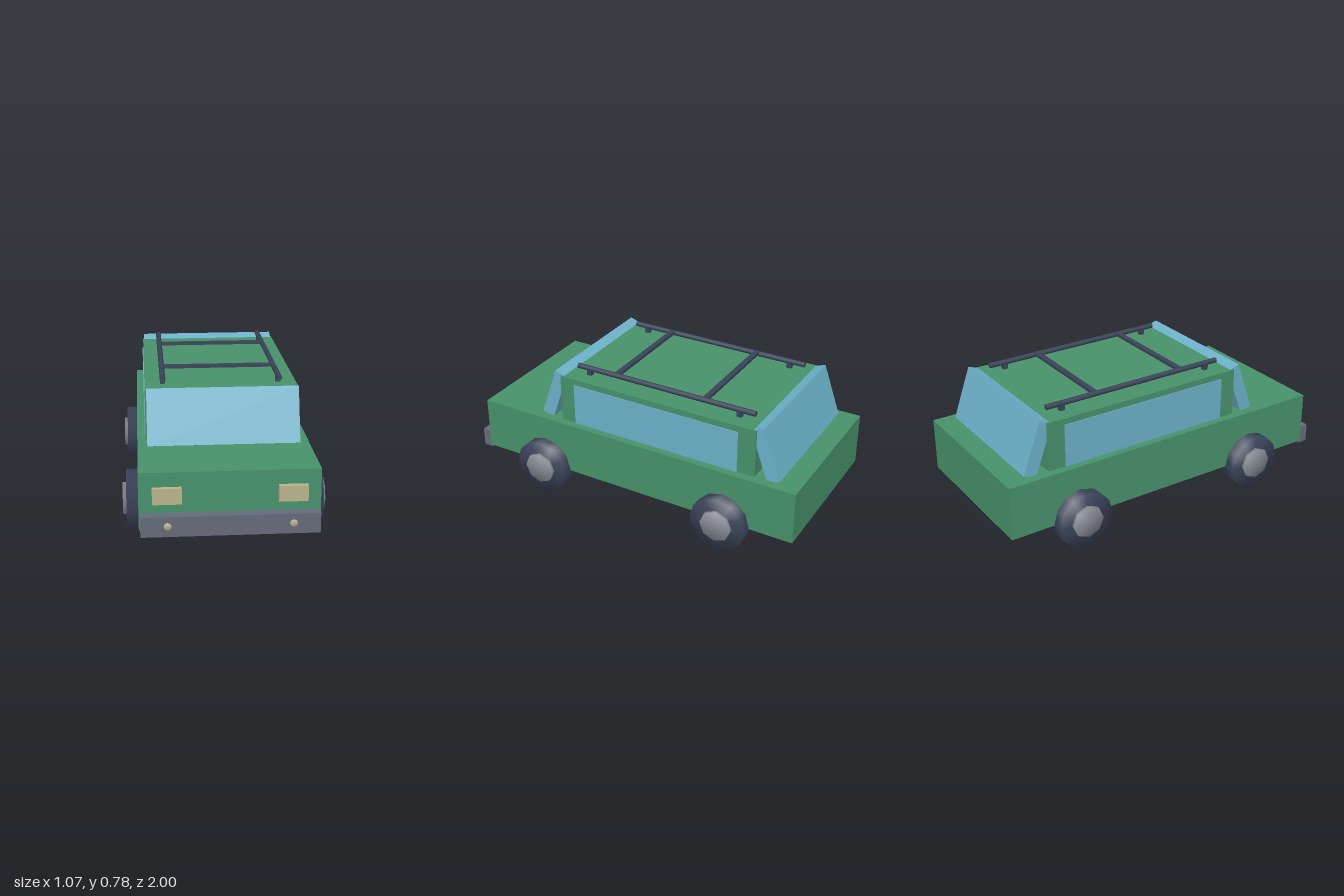
import * as THREE from 'three';
import { mergeVertices } from 'three/addons/utils/BufferGeometryUtils.js';

const mat = (color) => new THREE.MeshStandardMaterial({ color });

export function createModel() {
  const car = new THREE.Group();
  car.name = 'car';
  const paint = mat(0x46916a), glass = mat(0x6bb0c8), dark = mat(0x3a4358);
  const metal = mat(0x646a78), lamp = mat(0xbab28c), hubGrey = mat(0x888c96);

  const add = (name, geometry, material, x, y, z) => {
    const mesh = new THREE.Mesh(geometry, material);
    mesh.name = name;
    mesh.position.set(x, y, z);
    car.add(mesh);
    return mesh;
  };
  const box = (name, material, w, h, d, x, y, z) =>
    add(name, new THREE.BoxGeometry(w, h, d), material, x, y, z);

  // Cylinder along x with normals blended over the rim
  const softDisc = (radius, width, sides) => {
    let g = new THREE.CylinderGeometry(radius, radius, width, sides);
    g.deleteAttribute('normal');
    g.deleteAttribute('uv');
    g = mergeVertices(g, 1e-4);
    g.computeVertexNormals();
    return g.rotateZ(Math.PI / 2);
  };

  // Body and cabin
  box('body', paint, 0.904, 0.3, 1.94, 0, 0.302, -0.03);
  box('cabin', paint, 0.814, 0.275, 1.19, 0, 0.587, -0.155);

  // Sloping windscreen and rear window
  box('windscreen', glass, 0.8, 0.3, 0.075, 0, 0.591, 0.492).rotation.x = -0.345;
  box('rearWindow', glass, 0.8, 0.3, 0.075, 0, 0.591, -0.803).rotation.x = 0.345;

  // Front bumper
  box('bumper', metal, 0.89, 0.105, 0.06, 0, 0.188, 0.965);

  const tyre = softDisc(0.159, 0.115, 12);
  const hub = softDisc(0.09, 0.04, 8);
  const rail = new THREE.CylinderGeometry(0.015, 0.015, 1.08, 8).rotateX(Math.PI / 2);
  const fog = new THREE.SphereGeometry(0.028, 8, 6).rotateX(Math.PI / 2);

  for (const s of [1, -1]) {
    // Side window and lamps
    box('sideWindow', glass, 0.02, 0.24, 1.0, s * 0.402, 0.57, -0.15);
    box('headlight', lamp, 0.146, 0.083, 0.04, s * 0.312, 0.335, 0.947);
    add('fogLight', fog, lamp, s * 0.311, 0.19, 0.985).scale.z = 0.55;

    // Roof rail on two posts
    add('roofRail', rail, dark, s * 0.311, 0.762, -0.16);
    for (const z of [0.305, -0.61])
      box('railPost', dark, 0.026, 0.04, 0.028, s * 0.311, 0.737, z);

    // Wheels
    for (const z of [0.533, -0.593]) {
      add('tyre', tyre, dark, s * 0.457, 0.159, z);
      add('hub', hub, hubGrey, s * 0.514, 0.16, z);
    }
  }

  // Rack crossbars
  for (const z of [0.13, -0.41]) box('crossbar', dark, 0.62, 0.017, 0.03, 0, 0.77, z);

  return car;
}
